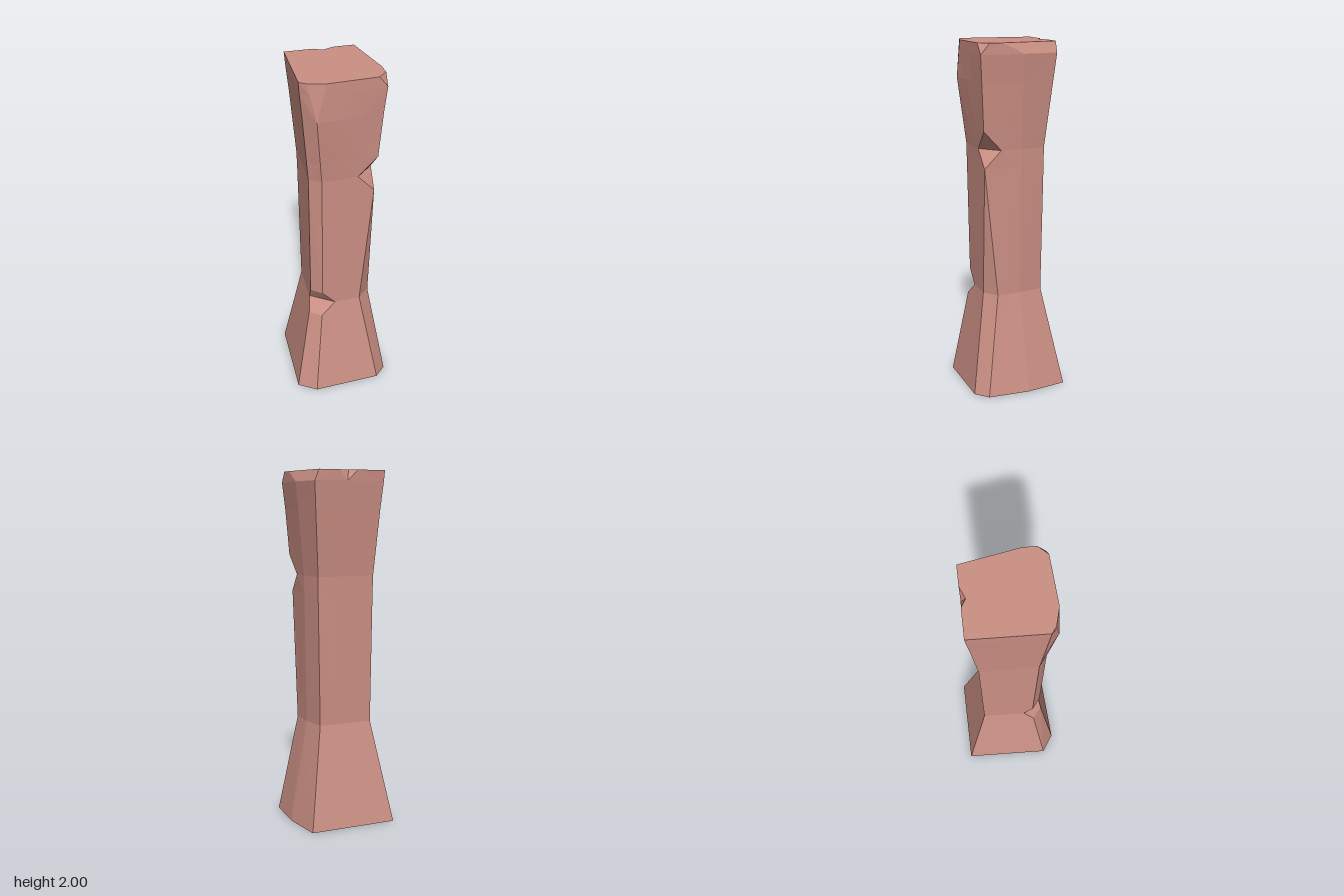
import * as THREE from 'three';

// Corner sections [x, z]: back left, back right, right mid, front right (side, front), front left (front, side)
const sections = [
  { y: 0, p: [[-0.265, -0.28], [0.237, -0.285], [0.28, -0.05], [0.275, 0.19], [0.208, 0.258], [-0.18, 0.28], [-0.282, 0.212]] },
  { y: 0.58, p: [[-0.165, -0.165], [0.145, -0.168], [0.175, -0.03], [0.18, 0.105], [0.11, 0.17], [-0.115, 0.18], [-0.175, 0.13]] },
  { y: 1.32, p: [[-0.172, -0.174], [0.158, -0.174], [0.185, -0.03], [0.18, 0.18], [0.18, 0.18], [-0.117, 0.192], [-0.18, 0.145]] },
  { y: 1.42, p: [[-0.174, -0.175], [0.158, -0.175], [0.186, -0.03], [0.187, 0.182], [0.187, 0.182], [-0.118, 0.194], [-0.181, 0.146]] },
  { y: 1.79, p: [[-0.2, -0.208], [0.186, -0.214], [0.218, -0.03], [0.213, 0.203], [0.213, 0.203], [-0.15, 0.235], [-0.212, 0.168]] },
  { y: 1.94, p: [[-0.213, -0.223], [0.197, -0.23], [0.233, -0.03], [0.228, 0.213], [0.228, 0.213], [-0.182, 0.214], [-0.226, 0.176]] },
  { y: 2, p: [[-0.217, -0.228], [0.172, -0.23], [0.208, -0.03], [0.23, 0.165], [0.18, 0.217], [-0.195, 0.205], [-0.23, 0.18]] },
];
const levels = [0, 0.505, 0.58, 0.66, 1.32, 1.42, 1.53, 1.79, 1.94, 2];

// Columns around the shaft: [name, corner, next corner, fraction between them]
const columns = [
  ['backLeft', 0, 0, 0], ['leftCut', 6, 0, 0.17], ['frontLeftSide', 6, 6, 0], ['frontLeft', 5, 5, 0],
  ['frontCutLeft', 4, 5, 0.667], ['frontCutRight', 4, 5, 0.335], ['frontRight', 4, 4, 0],
  ['frontRightSide', 3, 3, 0], ['rightCut', 3, 2, 0.457], ['rightMid', 2, 2, 0], ['backRight', 1, 1, 0],
  ['nickRight', 1, 0, 0.293], ['nick', 1, 0, 0.468], ['nickLeft', 1, 0, 0.584],
];

// Points pushed in to form the two notches and the chipped rim
const cuts = {
  0.58: { frontLeft: [-0.084, 0.145], frontLeftSide: [-0.129, 0.112] },
  1.42: { frontRight: [0.119, 0.153], frontRightSide: [0.152, 0.119] },
  1.94: { frontCutLeft: [-0.112, 0.233], frontCutRight: [0.04, 0.224] },
  2: { frontCutLeft: [-0.097, 0.232], frontCutRight: [0.04, 0.225], rightCut: [0.23, 0.09], nick: [-0.01, -0.202] },
};

const mix = THREE.MathUtils.lerp;
const mix2 = (a, b, t) => [mix(a[0], b[0], t), mix(a[1], b[1], t)];

function ringAt(y) {
  let k = 0;
  while (k < sections.length - 2 && y > sections[k + 1].y) k++;
  const lo = sections[k], hi = sections[k + 1];
  const t = (y - lo.y) / (hi.y - lo.y);
  const corners = lo.p.map((c, i) => mix2(c, hi.p[i], t));
  return columns.map(([name, a, b, f]) => {
    const [x, z] = cuts[y]?.[name] ?? mix2(corners[a], corners[b], f);
    return new THREE.Vector3(x, y, z);
  });
}

function buildShaft() {
  const rings = levels.map(ringAt);
  const n = columns.length;
  const positions = [];
  const tri = (a, b, c) => {
    const area = b.clone().sub(a).cross(c.clone().sub(a)).length();
    if (area > 1e-8) for (const v of [a, b, c]) positions.push(v.x, v.y, v.z);
  };
  const reach = (a, b) => Math.hypot(a.x + b.x, a.z + b.z);

  // Sides: split each quad along its outer diagonal so notch edges stay crisp
  for (let j = 0; j < rings.length - 1; j++) {
    for (let i = 0; i < n; i++) {
      const k = (i + 1) % n;
      const a = rings[j][i], b = rings[j][k], c = rings[j + 1][k], d = rings[j + 1][i];
      if (reach(a, c) > reach(b, d)) {
        tri(a, b, c);
        tri(a, c, d);
      } else {
        tri(a, b, d);
        tri(b, c, d);
      }
    }
  }

  // End caps
  const bottom = new THREE.Vector3(0, 0, 0), top = new THREE.Vector3(0, 2, 0);
  const last = rings[rings.length - 1];
  for (let i = 0; i < n; i++) {
    const k = (i + 1) % n;
    tri(top, last[i], last[k]);
    tri(bottom, rings[0][k], rings[0][i]);
  }

  const geometry = new THREE.BufferGeometry();
  geometry.setAttribute('position', new THREE.Float32BufferAttribute(positions, 3));
  geometry.computeVertexNormals();
  return geometry;
}

export function createModel() {
  const group = new THREE.Group();
  group.name = 'stonePillar';
  const material = new THREE.MeshStandardMaterial({ color: 0xcc9085, flatShading: true });
  const shaft = new THREE.Mesh(buildShaft(), material);
  shaft.name = 'chippedShaft';
  group.add(shaft);
  return group;
}
